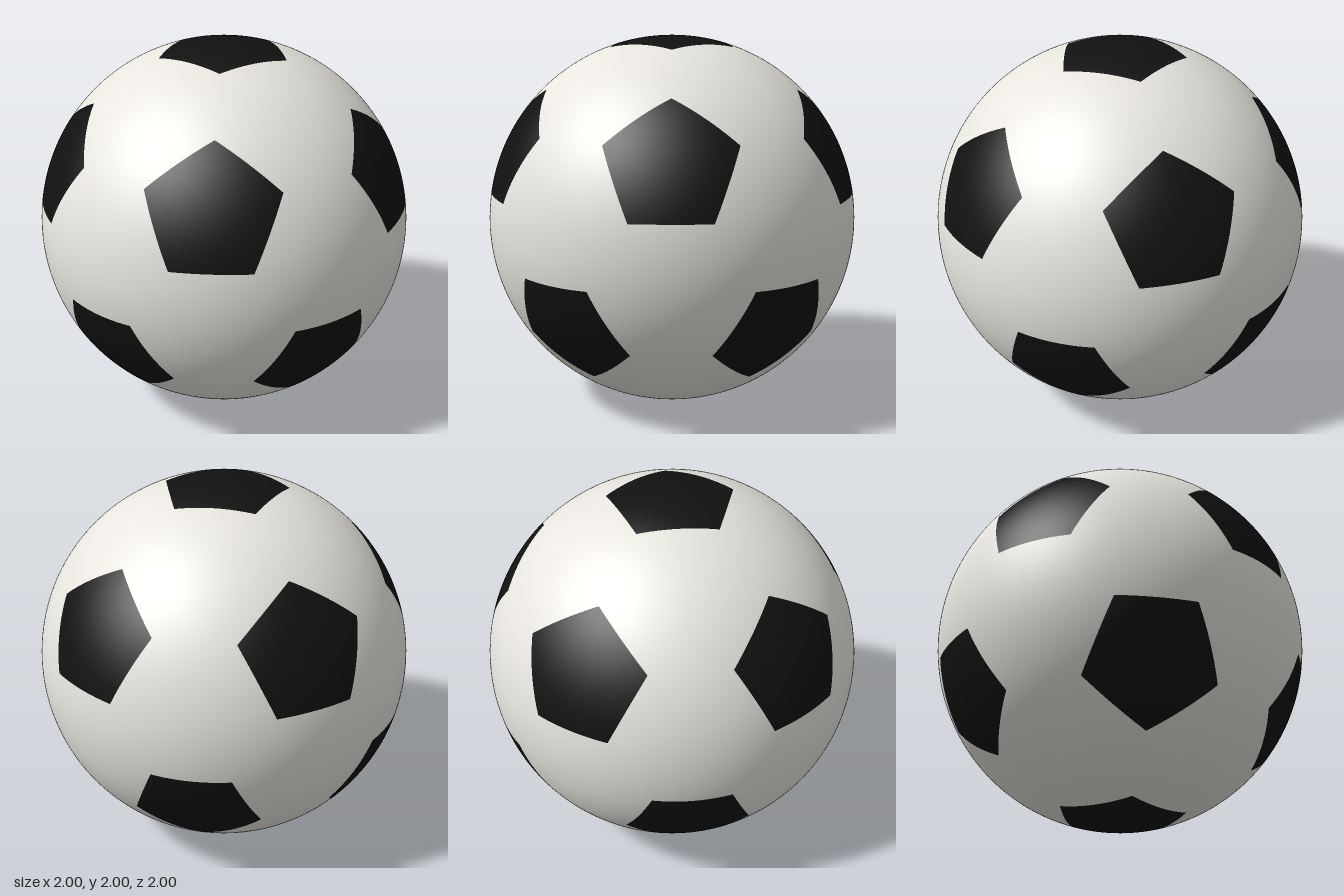
import * as THREE from 'three';
import { mergeVertices } from 'three/addons/utils/BufferGeometryUtils.js';

const RADIUS = 1;
const STEPS = 12; // subdivisions along each fan triangle

// The 12 icosahedron corners: two poles and two staggered rings of five
function icosahedronCorners() {
  const h = 1 / Math.sqrt(5), r = 2 / Math.sqrt(5);
  const corners = [new THREE.Vector3(0, 1, 0), new THREE.Vector3(0, -1, 0)];
  for (let k = 0; k < 10; k++) {
    const a = (k * Math.PI) / 5;
    corners.push(new THREE.Vector3(r * Math.cos(a), k % 2 ? -h : h, r * Math.sin(a)));
  }
  return corners;
}

// Curved panel: a fan around the centre of a flat polygon, subdivided and pushed out to the sphere
function panelGeometry(polygon) {
  const centre = polygon.reduce((s, p) => s.add(p), new THREE.Vector3()).divideScalar(polygon.length);
  const positions = [];
  polygon.forEach((p, i) => {
    const u = p.clone().sub(centre), v = polygon[(i + 1) % polygon.length].clone().sub(centre);
    const add = (a, b) => positions.push(...centre.clone()
      .addScaledVector(u, a / STEPS).addScaledVector(v, b / STEPS).setLength(RADIUS).toArray());
    for (let a = 0; a < STEPS; a++) {
      for (let b = 0; a + b < STEPS; b++) {
        add(a, b); add(a + 1, b); add(a, b + 1);
        if (a + b < STEPS - 1) { add(a + 1, b); add(a + 1, b + 1); add(a, b + 1); }
      }
    }
  });
  let geometry = new THREE.BufferGeometry();
  geometry.setAttribute('position', new THREE.Float32BufferAttribute(positions, 3));
  geometry = mergeVertices(geometry, 1e-5);
  // Exact sphere normals, so neighbouring panels shade without a seam
  const normals = Array.from(geometry.attributes.position.array, (c) => c / RADIUS);
  geometry.setAttribute('normal', new THREE.Float32BufferAttribute(normals, 3));
  return geometry;
}

export function createModel() {
  const white = new THREE.MeshStandardMaterial({ color: 0xe8e6df });
  white.name = 'warm white';
  const black = new THREE.MeshStandardMaterial({ color: 0x111111 });
  black.name = 'black';

  const ball = new THREE.Group();
  ball.name = 'football';
  ball.position.y = RADIUS;

  const addPanel = (name, polygon, material) => {
    const mesh = new THREE.Mesh(panelGeometry(polygon), material);
    mesh.name = name;
    ball.add(mesh);
  };

  const corners = icosahedronCorners();
  const adjacent = (a, b) => a !== b && a.dot(b) > 0.4;
  const third = (a, b) => a.clone().lerp(b, 1 / 3);

  // Black pentagons, one around each corner, counter-clockwise from outside
  for (const c of corners) {
    const near = corners.filter((n) => adjacent(c, n));
    const u = near[0].clone().projectOnPlane(c).normalize();
    const v = c.clone().cross(u);
    const angle = (p) => Math.atan2(p.dot(v), p.dot(u));
    near.sort((a, b) => angle(a) - angle(b));
    addPanel('blackPentagon', near.map((n) => third(c, n)), black);
  }

  // White hexagons, one in the middle of each icosahedron face
  for (let i = 0; i < 12; i++) for (let j = i + 1; j < 12; j++) for (let k = j + 1; k < 12; k++) {
    let [a, b, c] = [corners[i], corners[j], corners[k]];
    if (!adjacent(a, b) || !adjacent(b, c) || !adjacent(a, c)) continue;
    if (a.clone().cross(b).dot(c) < 0) [b, c] = [c, b];
    addPanel('whiteHexagon',
      [third(a, b), third(b, a), third(b, c), third(c, b), third(c, a), third(a, c)], white);
  }

  const model = new THREE.Group();
  model.name = 'ballModel';
  model.add(ball);
  return model;
}
